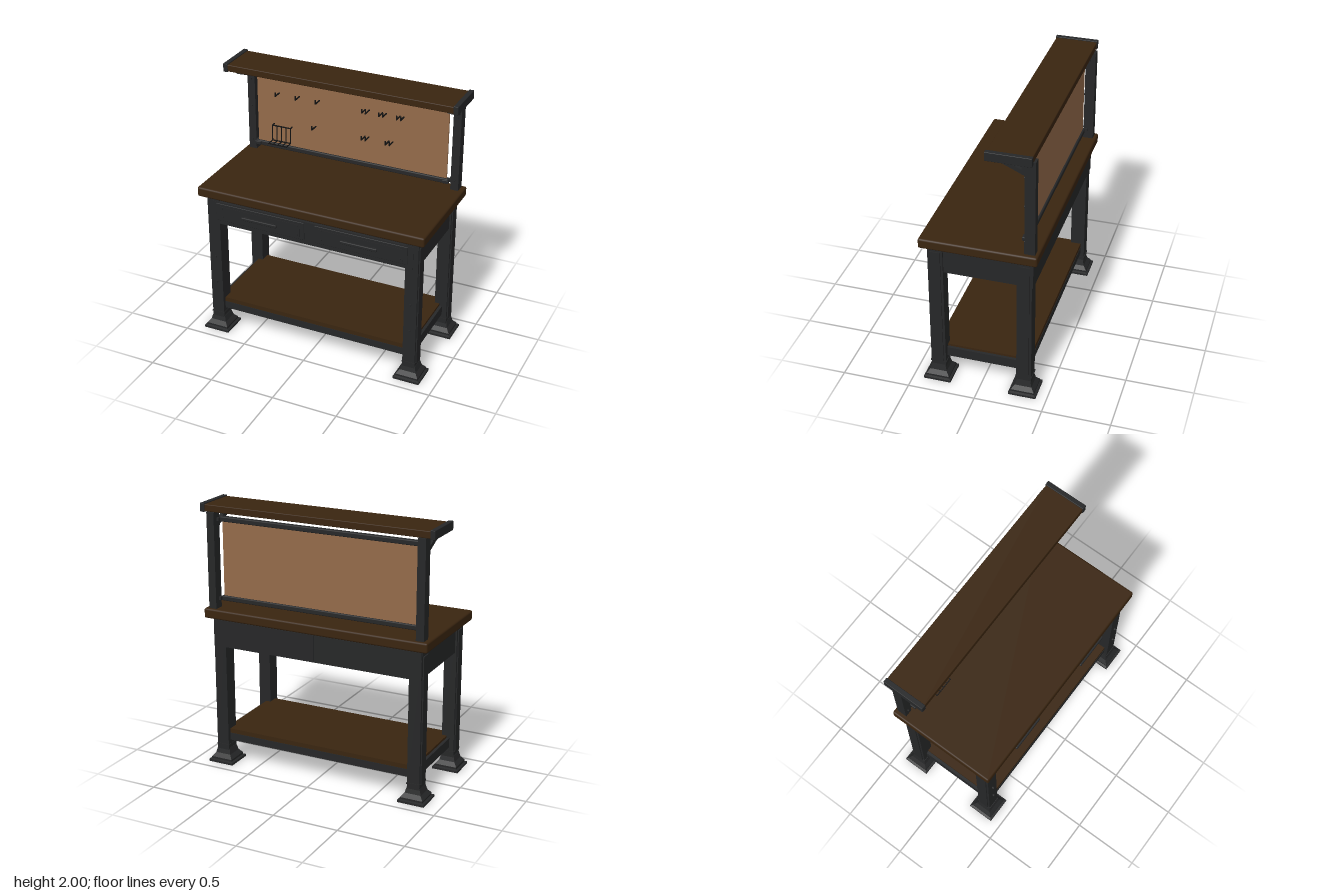
import * as THREE from 'three';
import { RoundedBoxGeometry } from 'three/addons/geometries/RoundedBoxGeometry.js';

const material = (name, color) => {
  const m = new THREE.MeshStandardMaterial({ color });
  m.name = name;
  return m;
};

export function createModel() {
  const model = new THREE.Group();
  model.name = 'workbench';
  const wood = material('dark wood', 0x3a2510);
  const metal = material('dark metal', 0x262728);
  const black = material('black wire', 0x141414);
  const board = material('tan board', 0x946b4a);

  const add = (name, geometry, mat, parent = model) => {
    const mesh = new THREE.Mesh(geometry, mat);
    mesh.name = name;
    parent.add(mesh);
    return mesh;
  };
  // Box given by its low and high corners; a radius rounds its edges
  const box = (name, mat, [x0, x1], [y0, y1], [z0, z1], radius = 0, parent = model) => {
    const s = [x1 - x0, y1 - y0, z1 - z0];
    const g = radius ? new RoundedBoxGeometry(...s, 2, radius) : new THREE.BoxGeometry(...s);
    const mesh = add(name, g, mat, parent);
    mesh.position.set((x0 + x1) / 2, (y0 + y1) / 2, (z0 + z1) / 2);
    return mesh;
  };
  const span = (c, half) => [c - half, c + half];
  // Bolt head facing +z
  const bolt = (x, y, z, r = 0.009) => {
    const b = add('bolt', new THREE.CylinderGeometry(r, r, 0.014, 8), metal);
    b.rotation.x = Math.PI / 2;
    b.position.set(x, y, z);
  };

  // Wooden tops
  box('benchTop', wood, [-0.887, 0.887], [1.147, 1.222], [-0.423, 0.423], 0.014);
  box('upperShelf', wood, [-0.885, 0.885], [1.94, 1.992], [-0.385, -0.075], 0.006);

  // Flared foot: square profile in a four-sided lathe
  const footProfile = [[0, 0], [0.102, 0], [0.102, 0.016], [0.086, 0.022], [0.086, 0.036],
    [0.062, 0.066], [0.05, 0.112], [0, 0.112]]
    .map(([r, y]) => new THREE.Vector2(r * Math.SQRT2, y));
  const footGeometry = new THREE.LatheGeometry(footProfile, 4).rotateY(Math.PI / 4).toNonIndexed();
  footGeometry.computeVertexNormals();

  for (const sx of [-1, 1]) {
    for (const sz of [-1, 1]) {
      const x = sx * 0.785, z = sz * 0.32;
      box('leg', metal, span(x, 0.048), [0.1, 1.15], span(z, 0.055));
      box('legSidePlate', metal, span(sx * 0.836, 0.005), [0.14, 1.1], span(z, 0.038));
      box('legCollar', metal, span(x, 0.051), [0.136, 0.146], span(z, 0.06));
      add('foot', footGeometry, metal).position.set(x, 0, z);
    }
    for (const y of [0.415, 0.635]) bolt(sx * 0.785, y, 0.382);

    // Upright, its bolts, bracket and shelf end cap
    box('upright', metal, span(sx * 0.823, 0.03), [1.22, 1.94], [-0.4, -0.325]);
    for (const y of [1.3, 1.58, 1.8]) bolt(sx * 0.823, y, -0.322, 0.007);
    box('endCap', metal, span(sx * 0.894, 0.018), [1.935, 2], [-0.39, -0.07], 0.004);
    const strut = add('shelfBracket', new THREE.BoxGeometry(0.032, 0.03, 0.2), metal);
    strut.position.set(sx * 0.825, 1.878, -0.238);
    strut.rotation.x = -0.42;
    box('bracketPlate', metal, span(sx * 0.823, 0.018), [1.83, 1.9], [-0.326, -0.3]);
    box('bracketTop', metal, span(sx * 0.825, 0.018), [1.925, 1.941], [-0.385, -0.13]);
  }

  // Drawer housing
  box('housing', metal, [-0.79, 0.79], [0.95, 1.132], [-0.36, 0.36]);
  for (const sx of [-1, 1]) {
    box('sideApron', metal, span(sx * 0.802, 0.018), [0.93, 1.134], [-0.365, 0.365]);
    box('backApron', metal, sx < 0 ? [-0.83, -0.002] : [0.002, 0.83], [0.93, 1.134], [-0.383, -0.355]);
  }
  box('frontFrame', metal, [-0.795, 0.795], [0.93, 1.11], [0.35, 0.379]);

  // Two drawers with handles and corner bolts
  for (const sx of [-1, 1]) {
    const cx = sx * 0.398;
    box('drawerFront', metal, span(cx, 0.357), [0.963, 1.102], [0.36, 0.386], 0.004);
    box('drawerInset', metal, span(cx, 0.325), [0.985, 1.08], [0.38, 0.389]);
    for (const dx of [-0.305, 0.305])
      for (const y of [1.0, 1.07]) bolt(cx + dx, y, 0.386, 0.007);
    box('handle', metal, span(cx - sx * 0.005, 0.142), [1.022, 1.046], [0.398, 0.416], 0.006);
    for (const dx of [-0.11, 0.11])
      box('handleMount', metal, span(cx + dx, 0.012), [1.026, 1.042], [0.38, 0.402]);
  }

  // Lower shelf in its metal frame
  box('lowerShelf', wood, [-0.775, 0.775], [0.232, 0.267], [-0.345, 0.345]);
  for (const s of [-1, 1]) {
    box('shelfLongRail', metal, [-0.76, 0.76], [0.176, 0.233], span(s * 0.33, 0.018));
    box('shelfSideRail', metal, span(s * 0.783, 0.014), [0.176, 0.25], [-0.3, 0.3]);
  }

  // Board with rails above and below
  box('pegboard', board, [-0.765, 0.765], [1.29, 1.89], [-0.327, -0.315]);
  for (const y of [1.292, 1.885]) {
    box('boardRail', metal, [-0.78, 0.78], span(y, 0.019), [-0.34, -0.3], 0.008);
    for (const sx of [-1, 1]) {
      box('railClamp', metal, span(sx * 0.762, 0.024), span(y, 0.014), [-0.335, -0.288], 0.005);
      box('railMount', metal, span(sx * 0.79, 0.012), span(y, 0.012), [-0.36, -0.325]);
    }
  }

  // Hooks
  const hookRows = [
    [1.727, [-0.58, -0.415, -0.25, 0.12, 0.15, 0.255, 0.285, 0.392, 0.423]],
    [1.512, [-0.28, 0.12, 0.15, 0.31, 0.34]],
  ];
  for (const [y, xs] of hookRows) {
    for (const x of xs) {
      const hook = new THREE.Group();
      hook.name = 'hook';
      model.add(hook);
      box('hookArm', black, span(x, 0.004), [y, y + 0.008], [-0.318, -0.243], 0, hook);
      box('hookTip', black, span(x, 0.004), [y, y + 0.034], [-0.25, -0.243], 0, hook);
    }
  }

  // Wire rack: upright wires folding forward at the base
  const rack = new THREE.Group();
  rack.name = 'wireRack';
  model.add(rack);
  for (const x of [-0.628, -0.59, -0.552, -0.514, -0.477]) {
    box('rackUpright', black, span(x, 0.003), [1.345, 1.475], [-0.283, -0.277], 0, rack);
    box('rackFloorWire', black, span(x, 0.003), [1.345, 1.351], [-0.283, -0.21], 0, rack);
  }
  for (const [y, z] of [[1.472, -0.28], [1.348, -0.28], [1.348, -0.213]])
    box('rackCrossWire', black, [-0.631, -0.474], span(y, 0.004), span(z, 0.003), 0, rack);
  for (const x of [-0.628, -0.477])
    box('rackHanger', black, span(x, 0.003), [1.466, 1.475], [-0.318, -0.277], 0, rack);

  return model;
}
